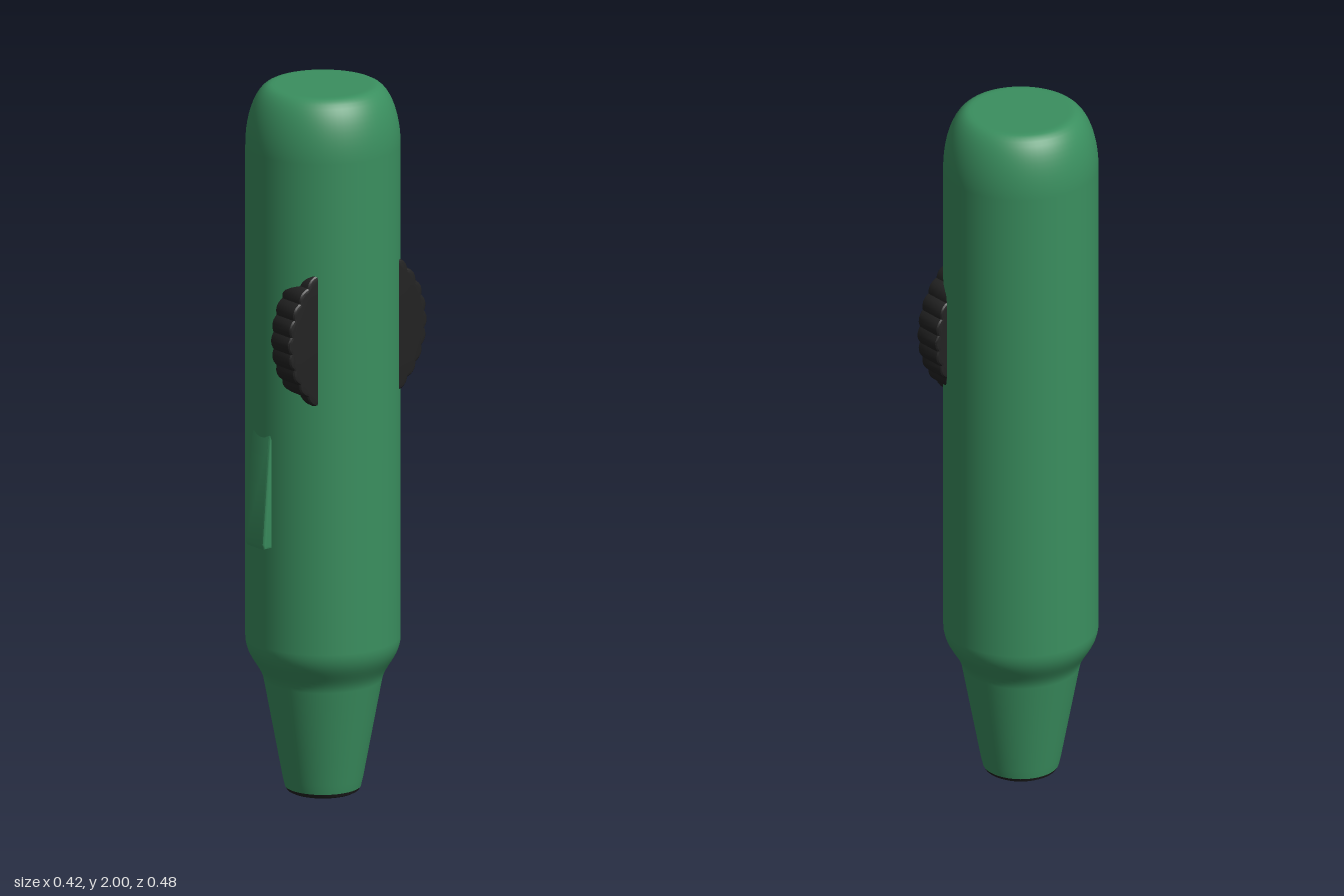
import * as THREE from 'three';
import { toCreasedNormals } from 'three/addons/utils/BufferGeometryUtils.js';

const v = (x, y) => new THREE.Vector2(x, y);

export function createModel() {
  const green = new THREE.MeshStandardMaterial({ color: 0x3a8f5f });
  green.name = 'green casing';
  const black = new THREE.MeshStandardMaterial({ color: 0x222222 });
  black.name = 'black plastic';

  const model = new THREE.Group();
  model.name = 'penDevice';
  const add = (name, geometry, material) => {
    const mesh = new THREE.Mesh(geometry, material);
    mesh.name = name;
    model.add(mesh);
    return mesh;
  };

  // Casing: tapered nose, soft shoulder, straight barrel, rounded crown
  const profile = new THREE.Path();
  profile.moveTo(0.104, 0.014);
  profile.lineTo(0.11, 0.04);
  profile.lineTo(0.162, 0.318);
  profile.bezierCurveTo(0.17, 0.36, 0.212, 0.385, 0.212, 0.44);
  profile.lineTo(0.212, 1.83);
  profile.bezierCurveTo(0.212, 1.92, 0.18, 2, 0.14, 2);
  profile.lineTo(0.13, 2);
  profile.lineTo(0, 2);
  add('casing', new THREE.LatheGeometry(profile.getPoints(12), 72), green);

  // Nose tip: closed disc with a rounded rim
  const tip = new THREE.LatheGeometry([v(0, 0), v(0.09, 0), v(0.099, 0.005), v(0.104, 0.014)], 72);
  add('noseTip', toCreasedNormals(tip, 0.5), black);

  // Thumb wheel: ridged disc passing through the casing, showing front and back
  const ridges = 30, steps = 6, bevel = 0.01;
  const rim = [];
  for (let i = 0; i < ridges * steps; i++) {
    const a = (i / (ridges * steps)) * Math.PI * 2;
    const r = 0.219 + 0.009 * Math.abs(Math.cos((a * ridges) / 2));
    rim.push(v(Math.cos(a) * r, Math.sin(a) * r));
  }
  const wheel = new THREE.ExtrudeGeometry(new THREE.Shape(rim), {
    depth: 0.067, bevelThickness: bevel, bevelSize: bevel, bevelSegments: 3,
  });
  wheel.rotateY(Math.PI / 2);
  add('thumbWheel', toCreasedNormals(wheel, 0.5), black).position.set(0.084, 1.33, 0);

  // Slide button: wedge on the front, thickest at its lower end
  const wedge = new THREE.Shape([
    v(-0.17, 0.734), v(-0.225, 0.734), v(-0.228, 0.742),
    v(-0.205, 1.03), v(-0.197, 1.062), v(-0.17, 1.062),
  ]);
  const button = new THREE.ExtrudeGeometry(wedge, {
    depth: 0.07, bevelThickness: 0.008, bevelSize: 0.008, bevelSegments: 3,
  });
  button.translate(0, 0, -0.035);
  button.rotateY(Math.PI / 2);
  add('slideButton', toCreasedNormals(button, 0.6), green);

  return model;
}
